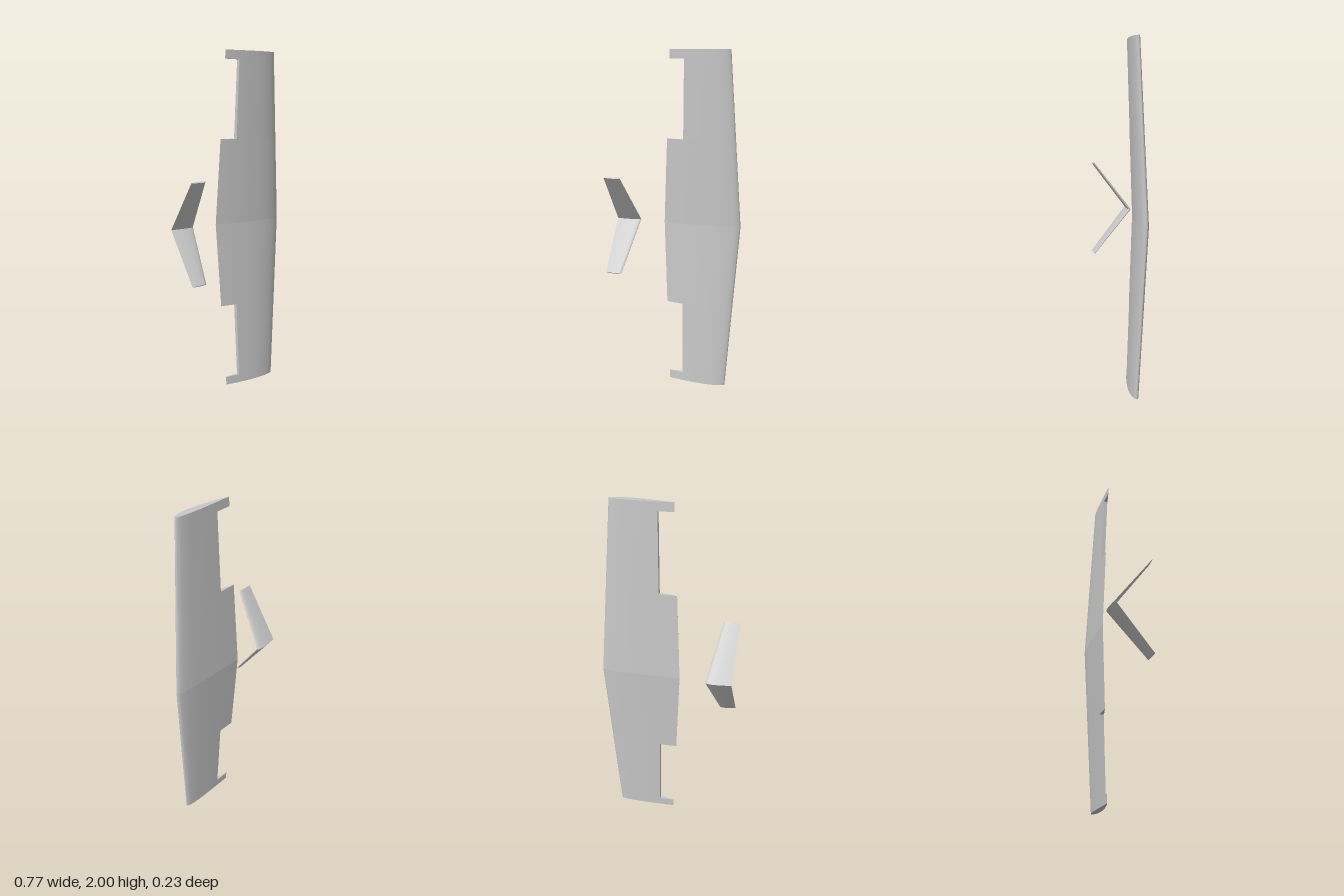
import * as THREE from 'three';
import { toCreasedNormals } from 'three/addons/utils/BufferGeometryUtils.js';

const N = 28; // steps along each side of an airfoil
const lerp = THREE.MathUtils.lerp;

// Airfoil loop as [u, offset] in chord units: trailing edge, upper side, nose, lower side.
// The loop is cut off square at u = end.
function airfoil(camber, end = 1) {
  const side = (u, s) => {
    const t = 0.6 * (0.2969 * Math.sqrt(u) - 0.126 * u - 0.3516 * u * u + 0.2843 * u ** 3 - 0.1025 * u ** 4);
    const p = 0.4;
    const c = u < p
      ? camber / (p * p) * (2 * p * u - u * u)
      : camber / ((1 - p) ** 2) * (1 - 2 * p + 2 * p * u - u * u);
    return [u, c + s * t];
  };
  const loop = [];
  for (let i = -N; i <= N; i++) {
    const u = end * (1 - Math.cos(Math.PI * Math.abs(i) / N)) / 2;
    loop.push(side(u, i < 0 ? 1 : -1));
  }
  return loop;
}

// Closed solid between a lower and an upper ring of points
function loft(low, high) {
  const n = low.length;
  const pos = [];
  const tri = (a, b, c) => pos.push(...a, ...b, ...c);
  for (let i = 0; i < n; i++) {
    const j = (i + 1) % n;
    tri(low[i], low[j], high[j]);
    tri(low[i], high[j], high[i]);
  }
  for (let i = 0; i < N; i++) { // end caps
    const a = i, b = i + 1, c = n - 2 - i, d = n - 1 - i;
    tri(high[a], high[b], high[c]);
    tri(high[a], high[c], high[d]);
    tri(low[a], low[c], low[b]);
    tri(low[a], low[d], low[c]);
  }
  const g = new THREE.BufferGeometry();
  g.setAttribute('position', new THREE.Float32BufferAttribute(pos, 3));
  return toCreasedNormals(g, 0.7);
}

// Wing section at height y: tapered, with dihedral towards +z
function wingRing(y, end) {
  const k = Math.abs(y - 1);
  const le = lerp(0.383, 0.314, k), te = lerp(-0.08, -0.036, k);
  const zLe = lerp(-0.079, -0.043, k), zTe = lerp(-0.093, -0.05, k);
  return airfoil(0.02, end).map(([u, o]) =>
    [lerp(le, te, u), y, lerp(zLe, zTe, u) + o * (le - te)]);
}

// Tail sections: mitred at the root, square to the panel at the tip; s = +1 or -1 in y
function tailRing(s, tip) {
  const le = tip ? -0.291 : -0.233, te = tip ? -0.386 : -0.381;
  const zLe = tip ? 0.105 : -0.109, zTe = tip ? 0.111 : -0.105;
  return airfoil(0).map(([u, o]) => {
    const d = o * (le - te);
    const y = tip ? 1 + s * (0.286 - 0.6 * d) : 1;
    return [lerp(le, te, u), y, lerp(zLe, zTe, u) + d * (tip ? 0.8 : 1.25)];
  });
}

export function createModel() {
  const group = new THREE.Group();
  const grey = new THREE.MeshStandardMaterial({ color: 0xc8c8c8 });
  grey.name = 'light grey';
  const add = (name, geometry) => {
    const mesh = new THREE.Mesh(geometry, grey);
    mesh.name = name;
    group.add(mesh);
  };

  // Wing panels; the outer ones stop at 75 % chord, leaving the aileron bays
  const panels = [
    ['rightWingTip', 0, 0.05, 1],
    ['rightOuterWing', 0.05, 0.5, 0.75],
    ['rightInnerWing', 0.5, 1, 1],
    ['leftInnerWing', 1, 1.5, 1],
    ['leftOuterWing', 1.5, 1.95, 0.75],
    ['leftWingTip', 1.95, 2, 1],
  ];
  for (const [name, y0, y1, end] of panels) add(name, loft(wingRing(y0, end), wingRing(y1, end)));

  // V-tail
  add('rightTailPanel', loft(tailRing(-1, true), tailRing(-1, false)));
  add('leftTailPanel', loft(tailRing(1, false), tailRing(1, true)));
  return group;
}
